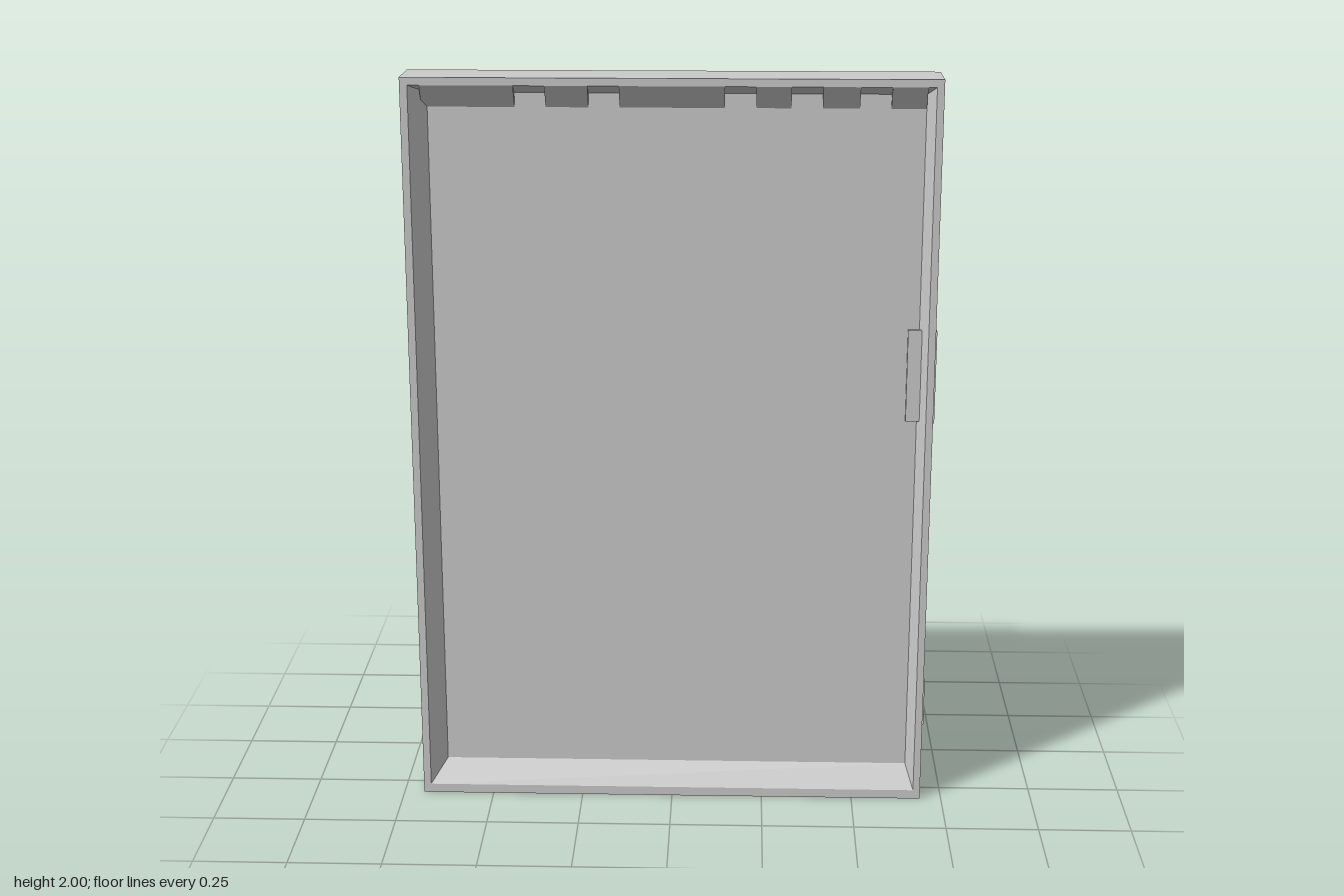
import * as THREE from 'three';

const material = new THREE.MeshStandardMaterial({ color: 0xcccccc, flatShading: true });
const FACE = 0.071, PANEL = 0.034; // depth of the rim face and of the recessed panel

function addMesh(parent, name, geometry) {
  const mesh = new THREE.Mesh(geometry, material);
  mesh.name = name;
  parent.add(mesh);
  return mesh;
}

function addBox(parent, name, x0, x1, y0, y1, z0, z1) {
  const mesh = addMesh(parent, name, new THREE.BoxGeometry(x1 - x0, y1 - y0, z1 - z0));
  mesh.position.set((x0 + x1) / 2, (y0 + y1) / 2, (z0 + z1) / 2);
}

// Rectangular cross-sections joined into one closed surface
function loftRectangles(loops) {
  const points = [], index = [];
  for (const [x0, x1, y0, y1, z] of loops) {
    points.push(x0, y0, z, x1, y0, z, x1, y1, z, x0, y1, z);
  }
  for (let i = 0; i < loops.length - 1; i++) {
    for (let k = 0; k < 4; k++) {
      const a = i * 4 + k, b = i * 4 + (k + 1) % 4;
      index.push(a, b, b + 4, a, b + 4, a + 4);
    }
  }
  const n = (loops.length - 1) * 4;
  index.push(0, 2, 1, 0, 3, 2, n, n + 1, n + 2, n, n + 2, n + 3);
  const geometry = new THREE.BufferGeometry();
  geometry.setAttribute('position', new THREE.Float32BufferAttribute(points, 3));
  geometry.setIndex(index);
  const flat = geometry.toNonIndexed();
  flat.computeVertexNormals();
  return flat;
}

// Triangular fillet under the top rim, running along x
function topWedge(x0, x1) {
  const shape = new THREE.Shape([
    new THREE.Vector2(-FACE, 1.98),
    new THREE.Vector2(-PANEL, 1.92),
    new THREE.Vector2(-PANEL, 1.957),
  ]);
  const geometry = new THREE.ExtrudeGeometry(shape, { depth: x1 - x0, bevelEnabled: false });
  geometry.rotateY(Math.PI / 2);
  geometry.translate(x0, 0, 0);
  return geometry;
}

export function createModel() {
  const model = new THREE.Group();
  model.name = 'framedPanel';

  // Frame and panel, recessed on both sides with sloping inner walls
  const outer = [-0.695, 0.691, 0, 2];
  const rim = [-0.675, 0.672, 0.025, 1.98];
  const panel = [-0.63, 0.65, 0.09, 1.957];
  addMesh(model, 'frame', loftRectangles([
    [...panel, -PANEL], [...rim, -FACE], [...outer, -FACE],
    [...outer, FACE], [...rim, FACE], [...panel, PANEL],
  ]));

  // Top fillets, interrupted by five notches on each side
  const notches = [[-0.405, -0.325], [-0.215, -0.135], [0.135, 0.215], [0.305, 0.385], [0.48, 0.56]];
  const stops = [-0.645, ...notches.flat(), 0.65];
  for (const side of [1, -1]) {
    const fillets = new THREE.Group();
    fillets.name = side > 0 ? 'frontTopFillets' : 'backTopFillets';
    for (let i = 0; i < stops.length; i += 2) {
      // Turn the same strip around for the back
      const [a, b] = side > 0 ? [stops[i], stops[i + 1]] : [-stops[i + 1], -stops[i]];
      addMesh(fillets, 'topFillet', topWedge(a, b));
    }
    if (side < 0) fillets.rotation.y = Math.PI;
    model.add(fillets);
  }

  // Latch and keeper plates on the left edge
  addBox(model, 'latchPlate', 0.62, 0.66, 1.09, 1.34, 0.02, 0.045);
  addBox(model, 'latchEdge', 0.68, 0.695, 1.09, 1.34, -0.06, 0.06);
  addBox(model, 'lowerKeeper', 0.68, 0.695, 0.22, 0.35, -0.06, 0.06);

  return model;
}
